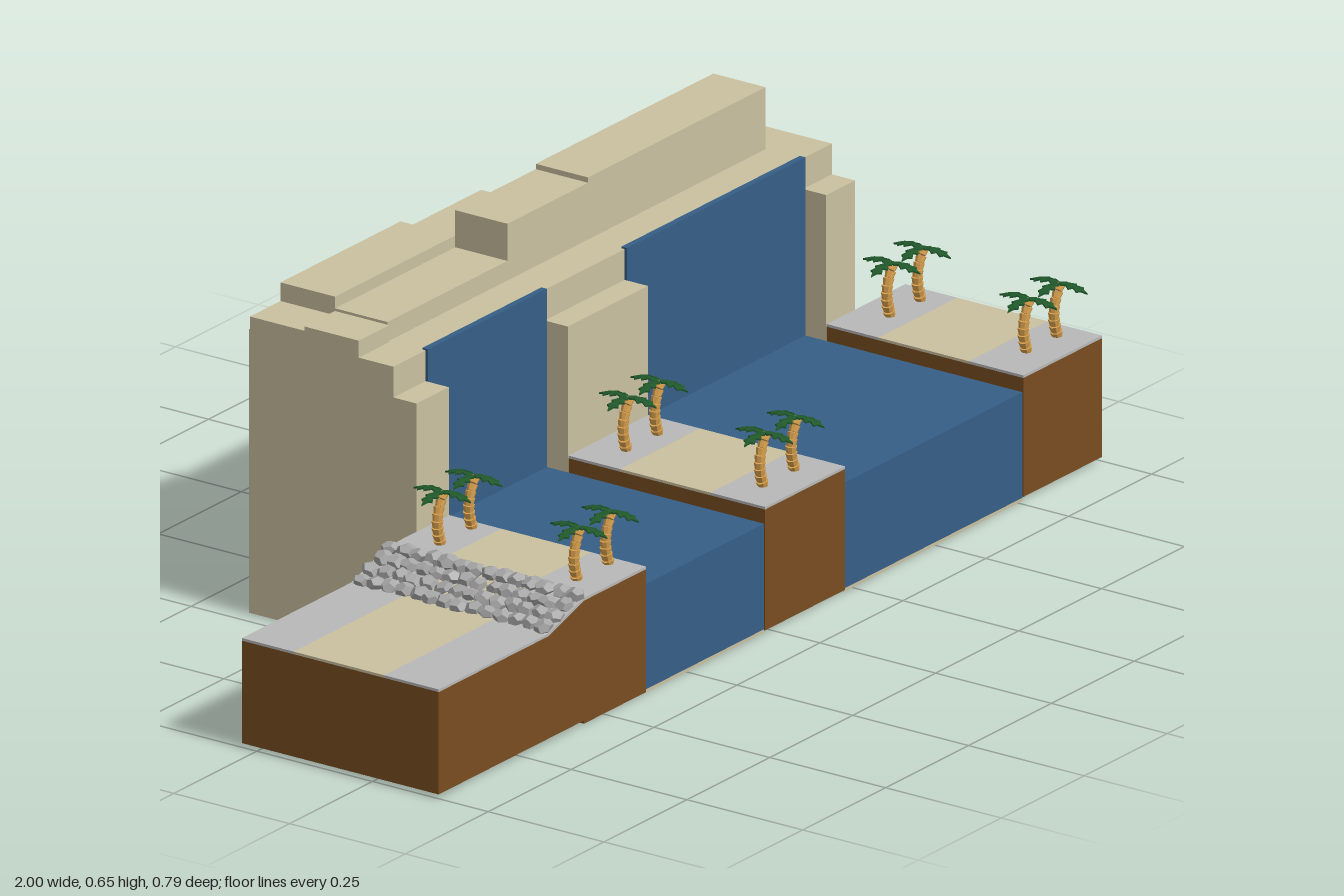
import * as THREE from 'three';

const mat = (name, color, extra = {}) => Object.assign(new THREE.MeshStandardMaterial({ color, ...extra }), { name });

export function createModel() {
  const stone = mat('sandstone', 0xcac1a0);
  const water = mat('water blue', 0x365e86);
  const earth = mat('earth brown', 0x794d21);
  const paving = mat('paving grey', 0xb8b8b8);
  const rock = mat('rock grey', 0xa6a6a6, { flatShading: true });
  const bark = mat('palm bark', 0xdba24e, { flatShading: true });
  const leaf = mat('palm leaf green', 0x20592b, { side: THREE.DoubleSide, flatShading: true });

  const model = new THREE.Group();
  const group = (name) => {
    const g = new THREE.Group();
    g.name = name;
    model.add(g);
    return g;
  };
  const add = (parent, name, geo, material) => {
    const m = new THREE.Mesh(geo, material);
    m.name = name;
    parent.add(m);
    return m;
  };
  const box = (parent, name, material, x0, x1, y0, y1, z0, z1) => {
    const m = add(parent, name, new THREE.BoxGeometry(x1 - x0, y1 - y0, z1 - z0), material);
    m.position.set((x0 + x1) / 2, (y0 + y1) / 2, (z0 + z1) / 2);
    return m;
  };
  // Side profile in x/y pushed along z
  const slab = (parent, name, material, pts, z0, z1) => {
    const shape = new THREE.Shape(pts.map(([x, y]) => new THREE.Vector2(x, y)));
    const geo = new THREE.ExtrudeGeometry(shape, { depth: z1 - z0, bevelEnabled: false });
    geo.translate(0, 0, z0);
    return add(parent, name, geo, material);
  };

  // Land: earth bodies with a path between two paved strips
  const land = (name, top, base) => {
    const g = group(name);
    const first = top[0][0], last = top[top.length - 1][0];
    slab(g, 'earth', earth, [[first, base], [last, base], ...[...top].reverse()], -0.032, 0.393);
    const raised = top.map(([x, y]) => [x, y + 0.005]);
    const skin = [...top, ...raised.reverse()];
    slab(g, 'backPaving', paving, skin, -0.032, 0.08);
    slab(g, 'sandPath', stone, skin, 0.08, 0.275);
    slab(g, 'frontPaving', paving, skin, 0.275, 0.393);
  };
  land('lowBank', [[-1, 0.201], [-0.67, 0.201], [-0.562, 0.234]], 0.008);
  land('leftBank', [[-0.562, 0.234], [-0.375, 0.234]], 0.002);
  land('middleBank', [[-0.016, 0.232], [0.225, 0.232]], 0.004);
  land('rightBank', [[0.763, 0.232], [1, 0.232]], 0.008);

  // Water: two pools with waterfalls behind, each on a stone bed
  const pools = group('water');
  for (const [x0, x1] of [[-0.375, -0.016], [0.225, 0.763]]) {
    box(pools, 'poolBed', stone, x0, x1, 0, 0.006, -0.08, 0.391);
    box(pools, 'pool', water, x0, x1, 0.006, 0.205, -0.08, 0.391);
    box(pools, 'waterfall', water, x0, x1, 0.205, 0.541, -0.09, -0.078);
  }

  // Cliff: main mass, front piers and stepped roof
  const cliff = group('cliff');
  box(cliff, 'mainMass', stone, -0.472, 0.85, 0.003, 0.538, -0.395, -0.083);
  for (const [x0, x1] of [[-0.472, -0.375], [-0.016, 0.225], [0.763, 0.85]]) {
    box(cliff, 'pier', stone, x0, x1, 0.003, 0.48, -0.083, -0.033);
  }
  const roof = [
    [-0.472, -0.38, 0.57, -0.275, -0.158],
    [-0.38, -0.018, 0.575, -0.275, -0.162],
    [-0.018, 0.225, 0.645, -0.275, -0.162],
    [0.225, 0.76, 0.655, -0.275, -0.162],
    [-0.472, -0.38, 0.562, -0.393, -0.275],
    [-0.38, -0.018, 0.597, -0.393, -0.275],
    [-0.018, 0.225, 0.579, -0.393, -0.275],
  ];
  for (const [x0, x1, top, z0, z1] of roof) {
    box(cliff, 'roofStep', stone, x0, x1, 0.53, top, z0, z1);
  }

  // Rocks: rows of irregular boulders climbing the slope
  const rocks = group('rockSlope');
  let seed = 7;
  const rand = () => (seed = (seed * 16807) % 2147483647) / 2147483647;
  const rockGeo = new THREE.DodecahedronGeometry(1, 0);
  for (let row = 0; row < 4; row++) {
    for (let i = 0; i < 14; i++) {
      const r = add(rocks, 'boulder', rockGeo, rock);
      r.position.set(-0.66 + row * 0.03 + (rand() - 0.5) * 0.008,
        0.212 + row * 0.0105, -0.015 + i * 0.0302 + (rand() - 0.5) * 0.006);
      r.scale.set(0.019, 0.011 + rand() * 0.005, 0.018 + rand() * 0.003);
      r.rotation.set((rand() - 0.5) * 0.5, rand() * 6, 0.25);
    }
  }

  // Palm frond: serrated outline that droops toward its tip
  const frondShape = new THREE.Shape();
  const edge = [[0, 0.003], [0.012, 0.009], [0.018, 0.005], [0.03, 0.014], [0.035, 0.006],
    [0.046, 0.012], [0.05, 0.005], [0.062, 0]];
  edge.forEach(([x, w], i) => (i ? frondShape.lineTo(x, w) : frondShape.moveTo(x, w)));
  [...edge].reverse().slice(1).forEach(([x, w]) => frondShape.lineTo(x, -w));
  const frondGeo = new THREE.ExtrudeGeometry(frondShape, { depth: 0.003, bevelEnabled: false });
  frondGeo.rotateX(-Math.PI / 2);
  const p = frondGeo.attributes.position;
  for (let i = 0; i < p.count; i++) {
    const t = p.getX(i) / 0.062;
    p.setY(i, p.getY(i) + 0.012 * t - 0.02 * t * t - Math.abs(p.getZ(i)) * 0.2);
  }
  frondGeo.computeVertexNormals();

  // Palms: curved trunk of flared rings under three fronds
  const trunkGeo = new THREE.CylinderGeometry(0.0105, 0.0085, 0.0125, 8);
  const lean = (t) => -0.006 - 0.012 * Math.sin(t * 2.6) + 0.014 * t * t;
  const palms = group('palms');
  for (const x of [-0.49, -0.395, 0.07, 0.165, 0.865, 0.957]) {
    for (const z of [0.035, 0.33]) {
      const palm = new THREE.Group();
      palm.name = 'palm';
      palm.position.set(x, 0.236, z);
      palms.add(palm);
      for (let i = 0; i < 8; i++) {
        const t = i / 7;
        const ring = add(palm, 'trunkRing', trunkGeo, bark);
        ring.position.set(lean(t), 0.006 + i * 0.0122, 0);
        ring.rotation.z = -(lean(t + 0.05) - lean(t - 0.05)) / 0.0086;
        const s = 1.08 - 0.15 * t;
        ring.scale.set(s, 1, s);
      }
      for (const turn of [Math.PI / 2, Math.PI, -Math.PI / 2]) {
        const frond = add(palm, 'frond', frondGeo, leaf);
        frond.position.set(0, 0.099, 0);
        frond.rotation.y = turn;
      }
    }
  }
  return model;
}
